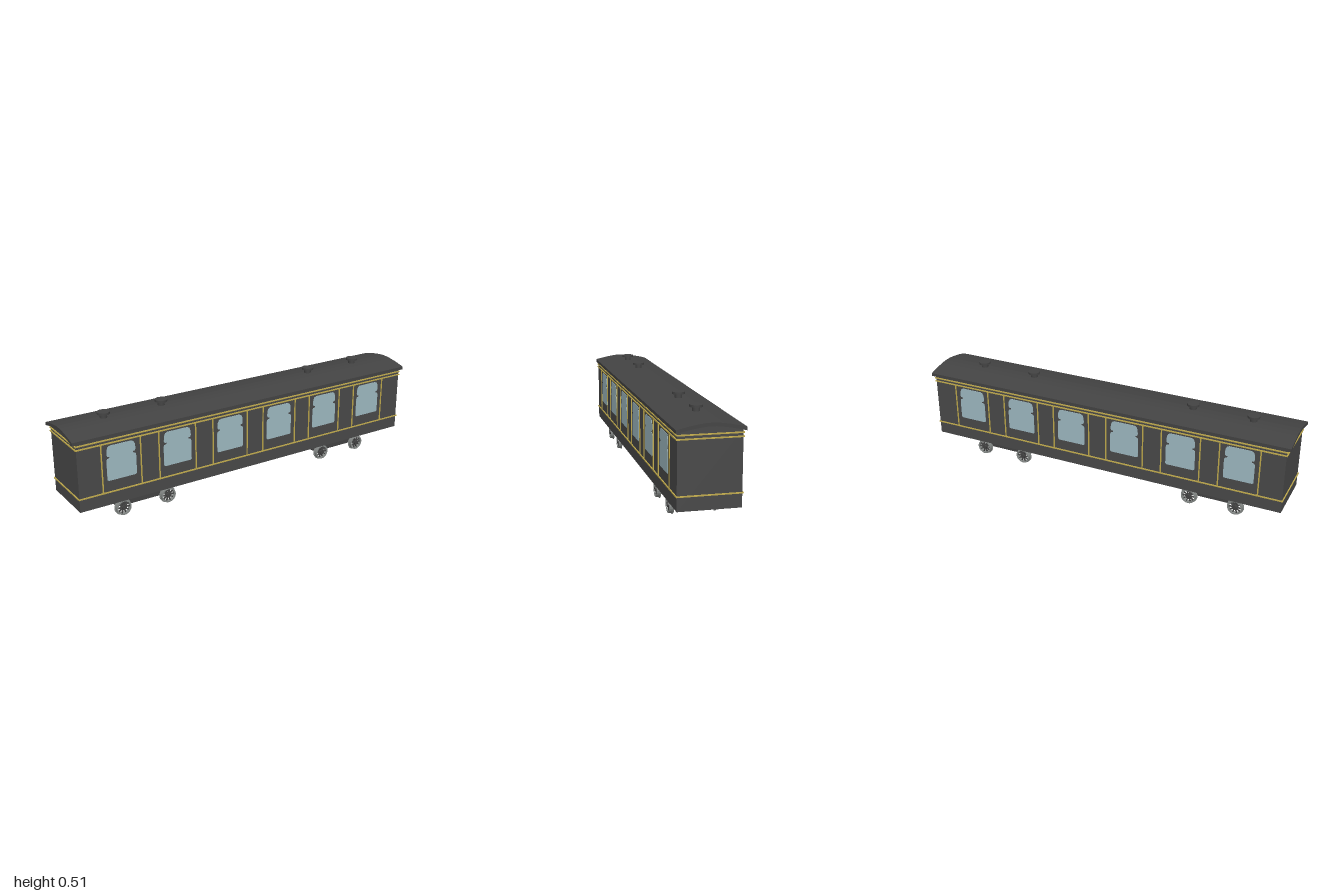
import * as THREE from 'three';

const mat = (name, color) => {
  const m = new THREE.MeshStandardMaterial({ color });
  m.name = name;
  return m;
};

export function createModel() {
  const paint = mat('charcoal paint', 0x484848);
  const dark = mat('dark iron', 0x434343);
  const gold = mat('gold lining', 0xc0aa4c);
  const glass = mat('window glass', 0x9db8c0);
  const steel = mat('wheel steel', 0x868a88);

  const model = new THREE.Group();
  model.name = 'passengerCoach';
  const add = (name, geo, material, x = 0, y = 0, z = 0, parent = model) => {
    const mesh = new THREE.Mesh(geo, material);
    mesh.name = name;
    mesh.position.set(x, y, z);
    parent.add(mesh);
    return mesh;
  };
  const box = (w, h, d) => new THREE.BoxGeometry(w, h, d);

  // Cross-section extruded along the length of the coach
  const alongX = (points, length) => {
    const g = new THREE.ExtrudeGeometry(new THREE.Shape(points.map(p => new THREE.Vector2(...p))),
      { depth: length, bevelEnabled: false });
    return g.translate(0, 0, -length / 2).rotateY(Math.PI / 2);
  };
  const arch = [[0.155, 0.455], [0.125, 0.4625], [0.085, 0.471], [0.05, 0.4765], [0.02, 0.48]];
  const fullArch = [...arch, ...arch.map(([z, y]) => [-z, y]).reverse()];

  // Body with an arched gable, and the overhanging roof
  const gable = fullArch.map(([z, y]) => [z * 0.145 / 0.155, y - 0.012]);
  add('body', alongX([[-0.145, 0.095], [0.145, 0.095], ...gable], 1.96), paint);
  const under = fullArch.map(([z, y]) => [z, y - 0.016]).reverse();
  add('roof', alongX([...fullArch, ...under], 2), dark);

  // Gold bands wrapping the body
  for (const y of [0.162, 0.41, 0.428]) {
    for (const s of [-1, 1]) {
      add('sideBand', box(1.968, 0.006, 0.005), gold, 0, y, s * 0.1475);
      add('endBand', box(0.005, 0.006, 0.299), gold, s * 0.9825, y, 0);
    }
  }

  // Window pane: rounded vent above, main light below, joined by a short neck
  const W = 0.077;
  const half = [[W, 0.226], [W, 0.322], [0.073, 0.331], [0.061, 0.335], [0.061, 0.342],
    [0.071, 0.343], [0.075, 0.352], [0.073, 0.377], [0.067, 0.391], [0.055, 0.397]];
  const outline = [[W - 0.006, 0.22], ...half];
  const pane = new THREE.ExtrudeGeometry(
    new THREE.Shape([...outline, ...outline.map(([x, y]) => [-x, y]).reverse()].map(p => new THREE.Vector2(...p))),
    { depth: 0.003, bevelEnabled: false });

  // Six windows and their gold uprights on both sides
  for (const s of [-1, 1]) {
    for (const x of [-0.757, -0.455, -0.151, 0.151, 0.449, 0.753]) {
      const w = add('window', pane, glass, x, 0, s * 0.144);
      if (s < 0) w.rotation.y = Math.PI;
      for (const e of [-1, 1]) {
        add('upright', box(0.006, 0.248, 0.004), gold, x + e * 0.102, 0.286, s * 0.147);
      }
    }
  }

  // Roof ventilators
  for (const x of [-0.77, -0.46, 0.444, 0.754]) {
    add('ventStem', new THREE.CylinderGeometry(0.018, 0.018, 0.03, 16), dark, x, 0.487, 0);
    add('ventCap', new THREE.CylinderGeometry(0.031, 0.031, 0.011, 16), dark, x, 0.5045, 0);
  }

  // Flanged tyre: profile turned about the axle
  const tyre = new THREE.LatheGeometry([[0.032, 0.099], [0.044, 0.099], [0.044, 0.102], [0.039, 0.103],
    [0.039, 0.119], [0.032, 0.119], [0.032, 0.099]].map(([r, z]) => new THREE.Vector2(r, z)).reverse(), 24)
    .toNonIndexed();
  tyre.computeVertexNormals();
  tyre.rotateX(Math.PI / 2);
  const tyreSteel = steel.clone();
  tyreSteel.name = 'tyre steel';
  tyreSteel.side = THREE.DoubleSide;

  const rod = (r, len, n = 16) => new THREE.CylinderGeometry(r, r, len, n).rotateX(Math.PI / 2);
  const makeWheel = () => {
    const wheel = new THREE.Group();
    wheel.name = 'wheel';
    add('tyre', tyre, tyreSteel, 0, 0, 0, wheel);
    add('hub', rod(0.012, 0.02), dark, 0, 0, 0.111, wheel);
    for (let i = 0; i < 5; i++) {
      const spoke = add('spokePair', box(0.066, 0.005, 0.008), dark, 0, 0, 0.11, wheel);
      spoke.rotation.z = i * Math.PI / 5;
    }
    return wheel;
  };

  // Bogies: two side plates, two axles, four wheels
  const plateShape = new THREE.Shape([[-0.163, 0.097], [-0.163, 0.06], [-0.145, 0.038], [-0.105, 0.028],
    [0.105, 0.028], [0.145, 0.038], [0.163, 0.06], [0.163, 0.097]].map(p => new THREE.Vector2(...p)));
  const plate = new THREE.ExtrudeGeometry(plateShape, { depth: 0.024, bevelEnabled: false });
  for (const x of [-0.62, 0.593]) {
    const bogie = new THREE.Group();
    bogie.name = 'bogie';
    bogie.position.x = x;
    model.add(bogie);
    for (const z of [-0.066, 0.042]) add('sidePlate', plate, dark, 0, 0, z, bogie);
    for (const dx of [-0.123, 0.123]) {
      add('axle', rod(0.008, 0.236), dark, dx, 0.044, 0, bogie);
      for (const turn of [0, Math.PI]) {
        const wheel = makeWheel();
        wheel.position.set(dx, 0.044, 0);
        wheel.rotation.y = turn;
        bogie.add(wheel);
      }
    }
  }
  return model;
}
